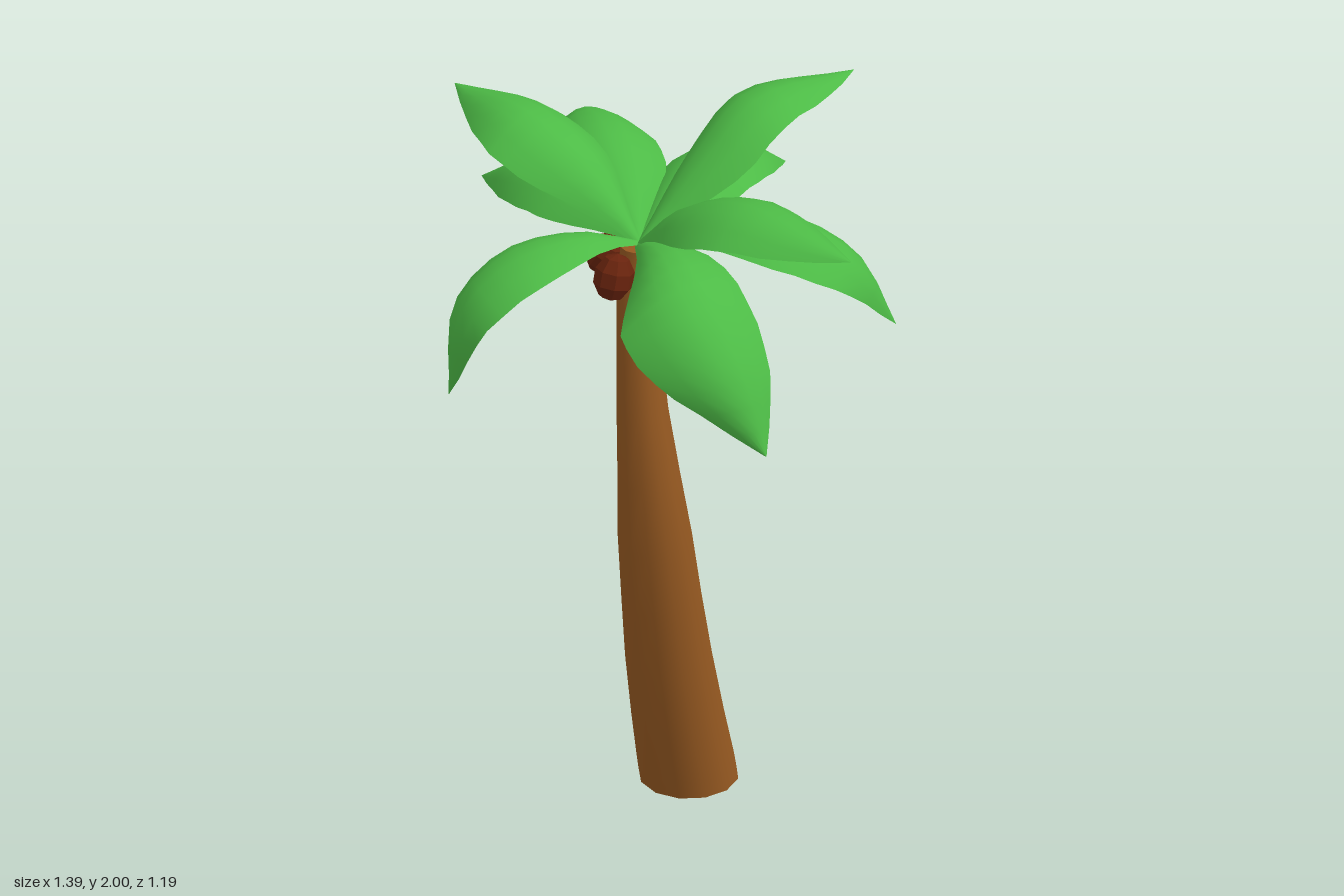
import * as THREE from 'three';

const mat = (name, color, extra = {}) => {
  const m = new THREE.MeshStandardMaterial({ color, ...extra });
  m.name = name;
  return m;
};

// Value of a profile given as [position, value] pairs
function sample(profile, t) {
  for (let i = 1; i < profile.length; i++) {
    const [t0, v0] = profile[i - 1], [t1, v1] = profile[i];
    if (t <= t1) return THREE.MathUtils.lerp(v0, v1, (t - t0) / (t1 - t0));
  }
  return profile[profile.length - 1][1];
}

// Curved, tapering trunk: a cylinder whose rings follow stations of [y, x, z, radius]
const STATIONS = [
  [0, -0.018, -0.075, 0.132], [0.05, -0.016, -0.062, 0.132], [0.2, -0.008, -0.022, 0.126],
  [0.4, 0.001, 0.025, 0.118], [0.6, 0.01, 0.064, 0.109], [0.8, 0.016, 0.097, 0.101],
  [1.0, 0.014, 0.12, 0.085], [1.2, 0, 0.13, 0.07], [1.4, -0.022, 0.122, 0.059],
  [1.6, -0.041, 0.114, 0.049], [1.68, -0.037, 0.112, 0.042],
];
function trunkGeometry() {
  const n = STATIONS.length - 1;
  const g = new THREE.CylinderGeometry(1, 1, n, 12, n);
  g.rotateY(Math.PI);
  const p = g.attributes.position;
  for (let i = 0; i < p.count; i++) {
    const [y, x, z, r] = STATIONS[Math.round(p.getY(i) + n / 2)];
    p.setXYZ(i, x + p.getX(i) * r, y, z + p.getZ(i) * r);
  }
  g.computeVertexNormals();
  return g;
}

// Arched leaf blade swept along a midrib; roll lifts one side of the blade
const WIDTH = [[0, 0.1], [0.08, 0.25], [0.18, 0.53], [0.3, 0.84], [0.43, 1], [0.6, 0.97], [0.75, 0.76], [0.88, 0.42], [1, 0.01]];
const BASE = [-0.03, 1.695, 0.11];
function frondGeometry(points, half, roll) {
  const curve = new THREE.CatmullRomCurve3([BASE, ...points].map(p => new THREE.Vector3(...p)));
  const tip = curve.points[curve.points.length - 1];
  const flat = new THREE.Vector3().subVectors(tip, curve.points[0]).setY(0).normalize();
  const side = new THREE.Vector3(-flat.z, 0, flat.x);
  const rows = 12, cols = 6, pos = [], index = [];
  for (let i = 0; i <= rows; i++) {
    const t = i / rows, c = curve.getPointAt(t), tangent = curve.getTangentAt(t);
    const up = new THREE.Vector3().crossVectors(side, tangent).normalize();
    const s = side.clone().multiplyScalar(Math.cos(roll)).addScaledVector(up, Math.sin(roll));
    const u = up.clone().multiplyScalar(Math.cos(roll)).addScaledVector(side, -Math.sin(roll));
    const w = half * sample(WIDTH, t);
    for (let j = 0; j <= cols; j++) {
      const k = (j / cols) * 2 - 1;
      const v = c.clone().addScaledVector(s, w * k).addScaledVector(u, -0.52 * w * k * k);
      pos.push(v.x, v.y, v.z);
      if (i < rows && j < cols) {
        const a = i * (cols + 1) + j, b = a + cols + 1;
        index.push(a, a + 1, b, a + 1, b + 1, b);
      }
    }
  }
  const g = new THREE.BufferGeometry();
  g.setAttribute('position', new THREE.Float32BufferAttribute(pos, 3));
  g.setIndex(index);
  g.computeVertexNormals();
  return g;
}

// Midrib points from crown to tip, half width, roll
const FRONDS = [
  // three raised fronds
  { path: [[-0.01, 1.88, -0.1], [0.01, 1.99, -0.28], [0.11, 1.96, -0.587]], half: 0.153, roll: 0.3 },
  { path: [[-0.2, 1.87, 0.12], [-0.4, 1.962, 0.135], [-0.698, 1.903, 0.075]], half: 0.145, roll: 0 },
  { path: [[0.13, 1.86, 0.12], [0.35, 1.955, 0.12], [0.695, 1.903, 0.1]], half: 0.147, roll: 0 },
  // drooping fronds at front and back
  { path: [[0.12, 1.76, 0.2], [0.28, 1.735, 0.295], [0.45, 1.57, 0.325], [0.557, 1.34, 0.28]], half: 0.18, roll: -0.2 },
  { path: [[-0.11, 1.75, 0.25], [-0.21, 1.73, 0.43], [-0.275, 1.6, 0.565], [-0.29, 1.335, 0.572]], half: 0.143, roll: -0.2 },
  { path: [[0.1, 1.76, -0.03], [0.25, 1.74, -0.17], [0.38, 1.62, -0.3], [0.43, 1.4, -0.387]], half: 0.15, roll: 0 },
  // level fronds at back and right
  { path: [[-0.06, 1.76, -0.08], [-0.08, 1.79, -0.25], [-0.09, 1.74, -0.4], [-0.09, 1.625, -0.545]], half: 0.125, roll: 0 },
  { path: [[-0.18, 1.79, 0], [-0.33, 1.837, -0.1], [-0.47, 1.8, -0.19], [-0.56, 1.72, -0.265]], half: 0.145, roll: 0 },
  { path: [[-0.2, 1.75, 0.07], [-0.36, 1.765, 0.04], [-0.52, 1.71, 0.02], [-0.67, 1.6, 0]], half: 0.135, roll: 0.15 },
];

// Nut centre, then tilt about x and z
const NUTS = [
  [[-0.035, 1.625, 0.205], -0.25, 0],
  [[0.045, 1.635, 0.125], 0, 0.5],
  [[-0.125, 1.63, 0.13], 0, -0.6],
];

export function createModel() {
  const bark = mat('bark brown', 0x965921);
  const leaf = mat('leaf green', 0x4dbb46, { side: THREE.DoubleSide });
  const shell = mat('nut brown', 0x68230d, { flatShading: true });

  const model = new THREE.Group();
  model.name = 'palmTree';
  const add = (name, geometry, material, parent = model) => {
    const mesh = new THREE.Mesh(geometry, material);
    mesh.name = name;
    parent.add(mesh);
    return mesh;
  };

  add('trunk', trunkGeometry(), bark);

  const crown = new THREE.Group();
  crown.name = 'crown';
  model.add(crown);
  FRONDS.forEach(({ path, half, roll }, i) => add(`frond${i + 1}`, frondGeometry(path, half, roll), leaf, crown));

  const nut = new THREE.SphereGeometry(0.055, 8, 5);
  nut.scale(1, 1.2, 1);
  NUTS.forEach(([p, rx, rz], i) => {
    const mesh = add(`coconut${i + 1}`, nut, shell, crown);
    mesh.position.set(...p);
    mesh.rotation.set(rx, 0, rz);
  });
  return model;
}
